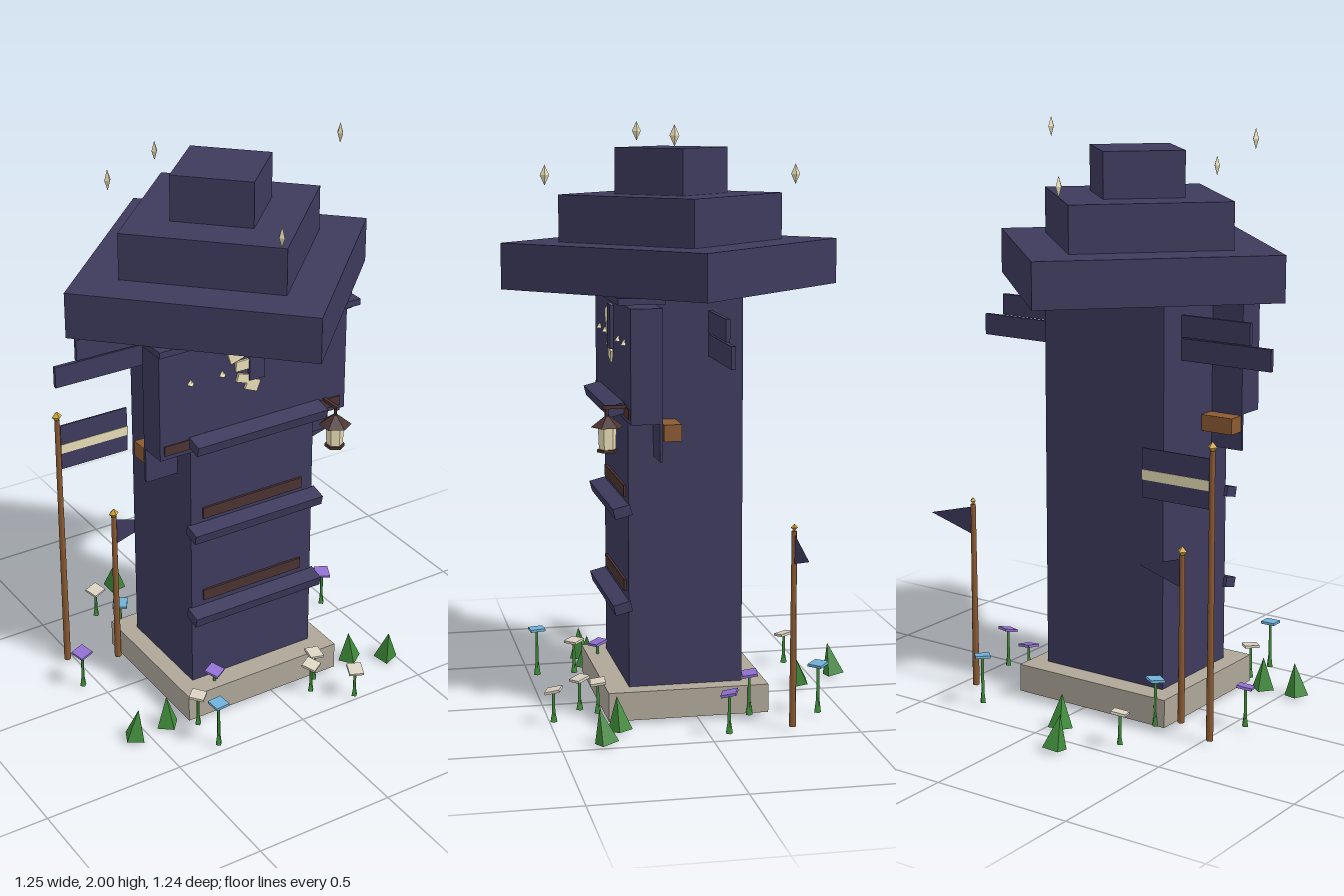
import * as THREE from 'three';

const mat = (name, color, side = THREE.FrontSide) => {
  const m = new THREE.MeshStandardMaterial({ color, side });
  m.name = name;
  return m;
};

export function createModel() {
  const root = new THREE.Group();
  root.name = 'tower';
  const slate = mat('slate purple', 0x3d3a5c, THREE.DoubleSide);
  const stone = mat('stone', 0xaea698);
  const wood = mat('wood', 0x8b5a32);
  const darkWood = mat('dark wood', 0x4a3230);
  const cream = mat('cream', 0xe6dcb4);
  const green = mat('leaf green', 0x3f8a3a);
  const blue = mat('blue petal', 0x6fb0d8);
  const violet = mat('violet petal', 0x8f6fd0);
  const gold = mat('gold', 0xd4a636);
  const white = mat('white petal', 0xd8d0c0);

  const add = (name, geo, m, x, y, z, parent = root) => {
    const mesh = new THREE.Mesh(geo, m);
    mesh.name = name;
    mesh.position.set(x, y, z);
    parent.add(mesh);
    return mesh;
  };
  // box given by its minimum and maximum on each axis
  const box = (name, m, x0, x1, y0, y1, z0, z1) =>
    add(name, new THREE.BoxGeometry(x1 - x0, y1 - y0, z1 - z0), m,
      (x0 + x1) / 2, (y0 + y1) / 2, (z0 + z1) / 2);
  const prism = (r0, r1, h, n) => new THREE.CylinderGeometry(r0, r1, h, n).toNonIndexed();
  const flat = (g) => { g.computeVertexNormals(); return g; };

  const cx = -0.042, cz = 0.034;

  // plinth and tower body
  box('plinth', stone, cx - 0.305, cx + 0.305, 0.015, 0.113, cz - 0.275, cz + 0.275);
  box('towerBody', slate, cx - 0.243, cx + 0.243, 0.113, 1.45, cz - 0.195, cz + 0.195);

  // three stepped roof tiers, turned corner to the front
  [[0.583, 1.447, 1.603], [0.387, 1.603, 1.762], [0.195, 1.762, 1.918]].forEach(([r, y0, y1], i) =>
    add('roofTier' + (i + 1), flat(prism(r, r, y1 - y0, 4)), slate, cx, (y0 + y1) / 2, cz));

  // overhanging upper front
  box('upperFront', slate, cx - 0.363, cx + 0.363, 1.03, 1.41, 0.14, 0.24);
  box('upperFrontBacking', slate, cx - 0.363, cx + 0.363, 0.905, 1.41, 0.134, 0.144);
  box('eaveBoard', slate, cx - 0.385, cx + 0.385, 1.425, 1.447, 0.13, 0.285);
  box('crossBeam', wood, cx - 0.363, cx + 0.363, 0.972, 1.028, 0.07, 0.13);
  box('frontBeam', darkWood, -0.39, 0.3, 1.045, 1.08, 0.236, 0.244);

  // sloping ledges and trim strips on the front
  for (const [y, z] of [[0.39, 0.25], [0.72, 0.25], [1.065, 0.268]]) {
    const ledge = add('frontLedge', new THREE.BoxGeometry(0.51, 0.036, 0.06), slate, cx, y, z);
    ledge.rotation.x = 0.25;
  }
  for (const y of [0.455, 0.78]) box('trimStrip', darkWood, -0.24, 0.155, y - 0.02, y + 0.02, 0.228, 0.237);

  // side boards under the roof
  for (const s of [-1, 1]) {
    for (const [reach, y] of [[0.507, 1.35], [0.587, 1.272]]) {
      add('sideBoard', new THREE.BoxGeometry(reach - 0.2, 0.074, 0.014), slate,
        cx + s * (reach + 0.2) / 2, y, -0.05);
    }
  }

  // broken pale plates and small studs on the upper front
  for (const [x, y, w, h, r] of [[-0.108, 1.35, 0.08, 0.05, 0.3], [-0.09, 1.3, 0.06, 0.035, 0],
    [-0.085, 1.25, 0.06, 0.03, -0.3], [-0.055, 1.22, 0.05, 0.04, -0.4], [-0.045, 1.375, 0.04, 0.03, 0]]) {
    add('palePlate', new THREE.BoxGeometry(w, h, 0.009), cream, x, y, 0.244).rotation.z = r;
  }
  box('centreBoard', slate, -0.07, -0.012, 1.24, 1.39, 0.24, 0.253);
  for (const x of [-0.29, -0.17, 0.095, 0.215]) {
    add('stud', new THREE.ConeGeometry(0.013, 0.02, 4), cream, x, 1.29, 0.243);
  }

  // hanging lantern
  const lantern = new THREE.Group();
  lantern.name = 'lantern';
  lantern.position.set(0.24, 0, 0.305);
  root.add(lantern);
  add('lanternGlass', flat(prism(0.031, 0.028, 0.075, 6)), cream, 0, 0.978, 0, lantern);
  add('lanternBase', flat(prism(0.034, 0.034, 0.01, 6)), darkWood, 0, 0.936, 0, lantern);
  add('lanternRoof', flat(prism(0.008, 0.055, 0.036, 6)), darkWood, 0, 1.033, 0, lantern);
  add('lanternHook', new THREE.CylinderGeometry(0.005, 0.005, 0.04, 5), darkWood, 0, 1.065, 0, lantern);
  add('lanternArm', new THREE.BoxGeometry(0.012, 0.012, 0.09), darkWood, 0, 1.08, -0.03, lantern);

  // flag poles with finials
  for (const [x, z, h] of [[0.43, -0.283, 0.68], [-0.53, -0.245, 1.0], [-0.365, -0.165, 0.605]]) {
    add('flagPole', new THREE.CylinderGeometry(0.009, 0.012, h - 0.015, 6), wood, x, (h + 0.015) / 2, z);
    add('finial', flat(new THREE.OctahedronGeometry(h < 0.7 && x > 0 ? 0.012 : 0.019)), gold, x, h + 0.012, z);
  }
  const pennant = (x, y, z, w, h) => {
    const s = new THREE.Shape([new THREE.Vector2(0, h / 2), new THREE.Vector2(0, -h / 2), new THREE.Vector2(w, 0)]);
    add('pennant', new THREE.ShapeGeometry(s), slate, x, y, z);
  };
  pennant(0.435, 0.62, -0.283, 0.185, 0.1);
  pennant(-0.36, 0.54, -0.165, 0.165, 0.1);
  box('banner', slate, -0.52, -0.26, 0.805, 0.973, -0.248, -0.242);
  box('bannerStripe', cream, -0.52, -0.258, 0.866, 0.9, -0.25, -0.24);

  // floating sparks around the roof
  for (const [x, y, z] of [[-0.48, 1.965, 0.075], [0.37, 1.965, 0.105], [-0.09, 1.825, 0.46], [-0.04, 1.825, -0.4]]) {
    add('spark', flat(new THREE.OctahedronGeometry(1)), cream, x, y, z).scale.set(0.011, 0.035, 0.016);
  }

  // grass tufts
  [[-0.15, -0.575], [-0.05, -0.42], [-0.545, 0.29], [-0.42, 0.28], [0.34, 0.29], [0.46, 0.36]].forEach(([x, z], i) => {
    const tuft = add('grassTuft', flat(new THREE.ConeGeometry(0.042, 0.115, 4).toNonIndexed()), green, x, 0.068, z);
    tuft.rotation.set(0.1, i * 1.3 + 0.9, 0.12);
  });

  // flowers: stem, lower leaf and square head
  [[violet, -0.56, 0.155, -0.07], [violet, 0.46, 0.152, -0.06], [violet, -0.22, 0.155, 0.27],
    [violet, 0.28, 0.16, -0.17], [blue, 0.3, 0.185, -0.405], [blue, -0.33, 0.185, 0.475],
    [blue, -0.31, 0.18, -0.24], [white, -0.305, 0.125, -0.44], [white, 0.225, 0.125, 0.49],
    [white, 0.11, 0.125, 0.385], [white, 0.16, 0.125, 0.33], [white, -0.33, 0.135, 0.34]].forEach(([m, x, h, z], i) => {
    add('flowerStem', new THREE.CylinderGeometry(0.005, 0.006, h - 0.015, 5), green, x, (h + 0.015) / 2, z);
    add('flowerLeaf', new THREE.ConeGeometry(0.012, h * 0.5, 4), green, x, 0.015 + h * 0.25, z);
    const head = add('flowerHead', new THREE.BoxGeometry(0.052, 0.009, 0.052), m, x, h, z);
    head.rotation.set(0.15, i * 0.9 + 0.3, 0.1);
  });

  return root;
}
